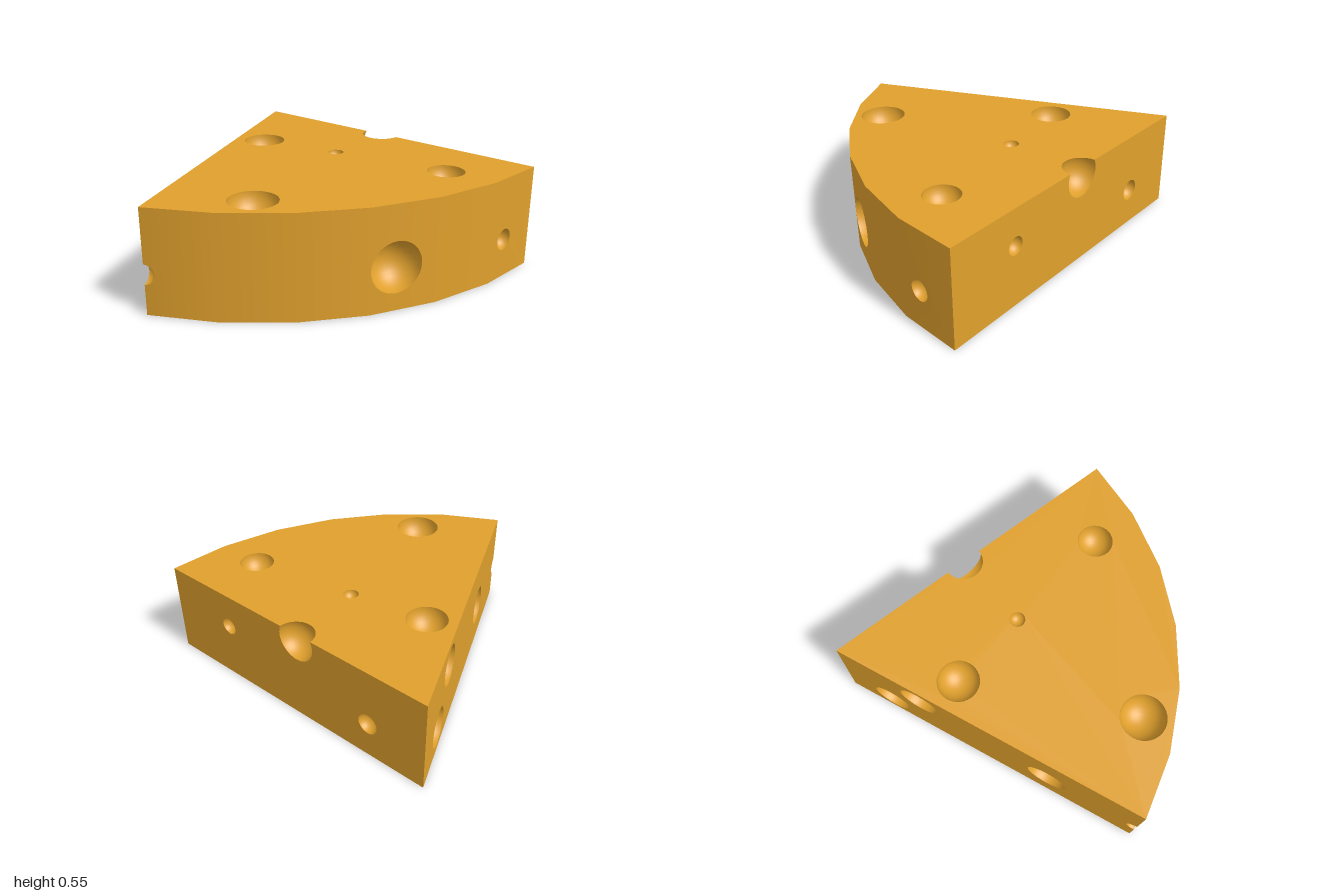
import * as THREE from 'three';

const H = 0.545, SEG = 16;
const V = (x, y) => new THREE.Vector2(x, y);
const material = new THREE.MeshStandardMaterial({ color: 0xe0a02d });

// Outline in (x, z): right corner, curved rind, left corner, tip
const tip = V(0, -0.9), half = Math.atan2(1, 1.5), R = Math.hypot(1, 1.5);
const outline = [];
for (let i = 0; i <= 6; i++) {
  const a = -half + (i / 6) * 2 * half;
  outline.push(V(R * Math.sin(a), tip.y + R * Math.cos(a)));
}
outline.push(tip);

// Points along a circular arc
function arc(cx, cy, r, a0, a1, n = SEG) {
  return Array.from({ length: n + 1 }, (_, i) => {
    const a = a0 + ((a1 - a0) * i) / n;
    return V(cx + r * Math.cos(a), cy + r * Math.sin(a));
  });
}

// Flat face with round holes [x, y, r]
function face(points, holes) {
  const shape = new THREE.Shape(points);
  for (const [x, y, r] of holes) {
    shape.holes.push(new THREE.Path(arc(x, y, r, 0, 2 * Math.PI, 2 * SEG).slice(0, -1)));
  }
  return new THREE.ShapeGeometry(shape);
}

// Part of a sphere turned inside out
function cavity(r, phi, phiLen, theta, thetaLen, phiSeg = SEG, thetaSeg = SEG) {
  const g = new THREE.SphereGeometry(r, phiSeg, thetaSeg, phi, phiLen, theta, thetaLen);
  const idx = g.index.array, n = g.attributes.normal;
  for (let i = 0; i < idx.length; i += 3) [idx[i], idx[i + 1]] = [idx[i + 1], idx[i]];
  for (let i = 0; i < n.count; i++) n.setXYZ(i, -n.getX(i), -n.getY(i), -n.getZ(i));
  return g;
}

export function createModel() {
  const model = new THREE.Group();
  model.name = 'cheeseWedge';
  const add = (name, geometry) => {
    const mesh = new THREE.Mesh(geometry, material);
    mesh.name = name;
    model.add(mesh);
  };

  // Bite out of the right corner edge, and out of the top of the left cut
  const nick = { y: 0.21, r: 0.052 };
  const bite = { u: R - 0.841, y: 0.495, r: 0.117 };
  const lift = Math.asin((H - bite.y) / bite.r);
  const biteTop = bite.r * Math.cos(lift);

  // Upright wall from a to b, with half-sphere holes [along, y, r]
  function wall(name, a, b, holes, { start = [], top = [], end = [], smooth = false } = {}) {
    const len = a.distanceTo(b);
    const place = new THREE.Matrix4().makeRotationY(Math.atan2(a.y - b.y, b.x - a.x)).setPosition(a.x, 0, a.y);
    const g = face([V(0, 0), V(len, 0), ...end, V(len, H), ...top, V(0, H), ...start], holes).applyMatrix4(place);
    if (smooth) {
      const p = g.attributes.position, n = g.attributes.normal, v = new THREE.Vector3();
      for (let i = 0; i < p.count; i++) {
        v.set(p.getX(i), 0, p.getZ(i) - tip.y).normalize();
        n.setXYZ(i, v.x, v.y, v.z);
      }
    }
    add(name, g);
    holes.forEach(([u, y, r]) => {
      add(name + 'Hole', cavity(r, Math.PI, Math.PI, 0, Math.PI).translate(u, y, 0).applyMatrix4(place));
    });
    return place;
  }

  // Curved rind
  const rindHoles = { 3: [[0.136, 0.225, 0.134]], 5: [[0.12, 0.21, 0.057]] };
  for (let i = 0; i < 6; i++) {
    const start = i === 0 ? arc(0, nick.y, nick.r, Math.PI / 2, -Math.PI / 2) : [];
    wall('rind', outline[i], outline[i + 1], rindHoles[i] || [], { start, smooth: true });
  }

  // Left cut, with the bite through its top edge
  const leftPlace = wall('leftCut', outline[6], tip, [[R - 1.37, 0.34, 0.05], [R - 0.36, 0.21, 0.06]],
    { top: arc(bite.u, bite.y, bite.r, lift, -Math.PI - lift, 2 * SEG) });
  const t0 = Math.PI / 2 - lift;
  add('topEdgeHole', cavity(bite.r, Math.PI, Math.PI, t0, Math.PI - t0)
    .translate(bite.u, bite.y, 0).applyMatrix4(leftPlace));

  // Right cut, with the nick at its far edge
  wall('rightCut', tip, outline[0], [[0.49, 0.397, 0.115], [0.288, 0.142, 0.114], [1.27, 0.248, 0.115]],
    { end: arc(R, nick.y, nick.r, -Math.PI / 2, -1.5 * Math.PI) });
  const corner = outline[0];
  const phiTo = (p) => Math.atan2(p.y - corner.y, corner.x - p.x);
  const phi0 = phiTo(outline[1]) - 2 * Math.PI;
  add('cornerHole', cavity(nick.r, phi0, phiTo(tip) - phi0, 0, Math.PI).translate(corner.x, nick.y, corner.y));

  // Top, holes as [x, z, r]
  const topHoles = [[-0.22, -0.27, 0.113], [0.1, 0.065, 0.042], [0.535, 0.535, 0.097], [-0.49, 0.66, 0.123]];
  const d = tip.clone().sub(outline[6]).normalize();
  const c = outline[6].clone().addScaledVector(d, bite.u);
  const inward = V(d.y, -d.x);
  const biteRim = arc(0, 0, biteTop, 0, Math.PI)
    .map((p) => c.clone().addScaledVector(d, -p.x).addScaledVector(inward, p.y));
  const topOutline = [...outline.slice(0, 7), ...biteRim, tip].map((p) => V(p.x, -p.y));
  add('top', face(topOutline, topHoles.map(([x, z, r]) => [x, -z, r])).rotateX(-Math.PI / 2).translate(0, H, 0));
  for (const [x, z, r] of topHoles) {
    add('topHole', cavity(r, 0, 2 * Math.PI, Math.PI / 2, Math.PI / 2, 2 * SEG, SEG / 2).translate(x, H, z));
  }

  // Underside
  const baseHoles = [[0.638, 0.59, 0.095], [0.154, 0.25, 0.048], [0, -0.393, 0.054], [-0.371, 0.625, 0.122]];
  add('underside', face(outline, baseHoles).rotateX(Math.PI / 2));
  for (const [x, z, r] of baseHoles) {
    add('undersideHole', cavity(r, 0, 2 * Math.PI, 0, Math.PI / 2, 2 * SEG, SEG / 2).translate(x, 0, z));
  }
  return model;
}
